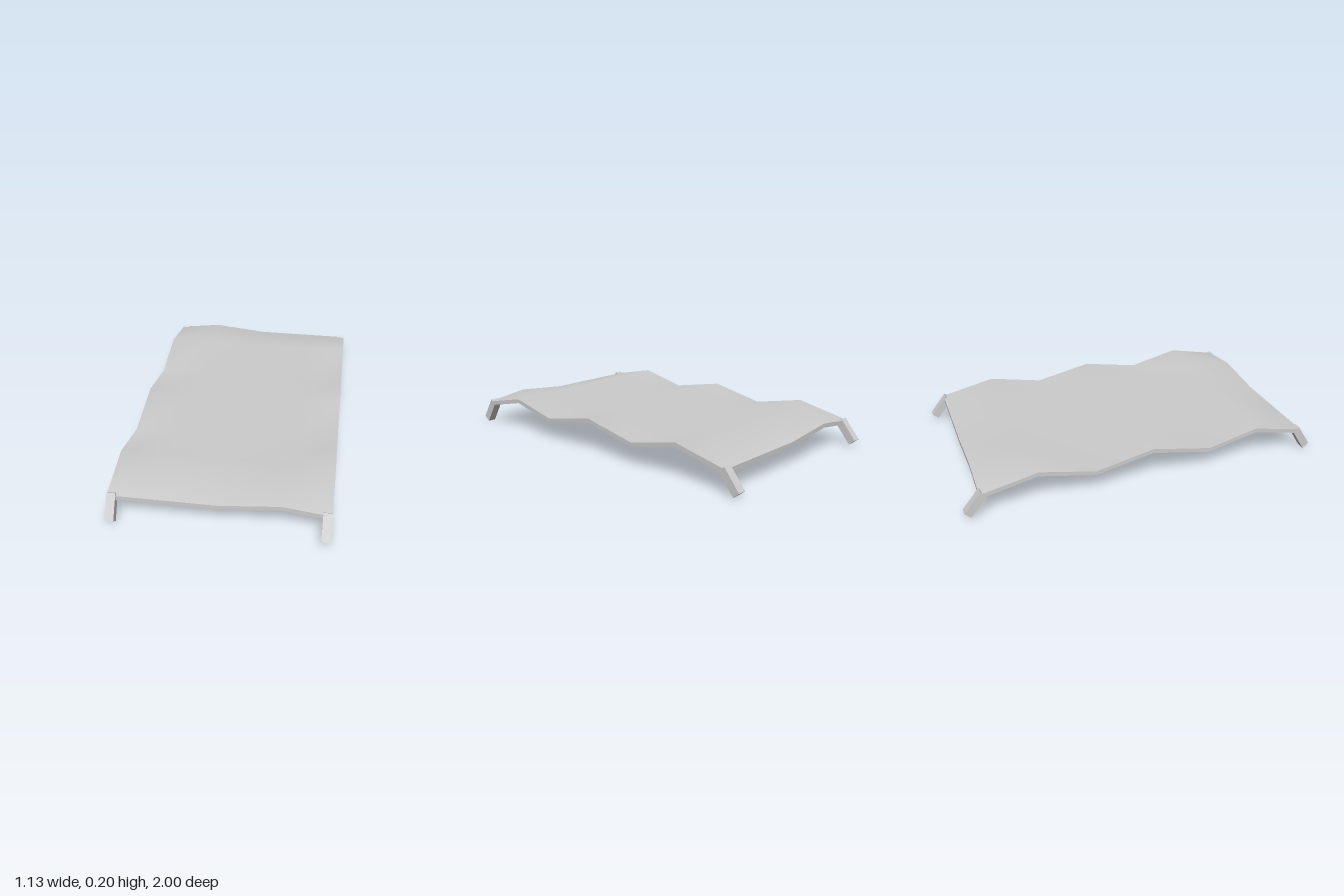
import * as THREE from 'three';

const material = new THREE.MeshStandardMaterial({ color: 0xcccccc });

// Folds of the sheet: columns across x, rows [z, y] along its length
const columns = [-0.563, -0.315, 0, 0.315, 0.563];
const rows = [
  [0.93, 0.133], [0.64, 0.197], [0.353, 0.132], [0.02, 0.197],
  [-0.302, 0.132], [-0.61, 0.197], [-0.917, 0.133],
];
const thickness = 0.024;
const lastRow = rows.length - 1, lastCol = columns.length - 1;

// One lifted ripple on each short edge, at opposite sides
function point(r, c, drop) {
  const lifted = (r === 0 && c === 3) || (r === lastRow && c === 1);
  return [columns[c], rows[r][1] + (lifted ? 0.032 : 0) - drop, rows[r][0]];
}

function makeGeometry(positions, index) {
  const g = new THREE.BufferGeometry();
  g.setAttribute('position', new THREE.Float32BufferAttribute(positions, 3));
  g.setIndex(index);
  g.computeVertexNormals();
  return g;
}

// Smooth upper or lower surface
function surface(drop, up) {
  const positions = [], index = [], n = columns.length;
  for (let r = 0; r <= lastRow; r++)
    for (let c = 0; c <= lastCol; c++) positions.push(...point(r, c, drop));
  for (let r = 0; r < lastRow; r++)
    for (let c = 0; c < lastCol; c++) {
      const a = r * n + c, b = a + 1, d = a + n, e = d + 1;
      if (up) index.push(a, b, e, a, e, d);
      else index.push(a, e, b, a, d, e);
    }
  return makeGeometry(positions, index);
}

// Thin flat rim joining both surfaces
function rim() {
  const loop = [], positions = [], index = [];
  for (let c = 0; c < lastCol; c++) loop.push([0, c]);
  for (let r = 0; r < lastRow; r++) loop.push([r, lastCol]);
  for (let c = lastCol; c > 0; c--) loop.push([lastRow, c]);
  for (let r = lastRow; r > 0; r--) loop.push([r, 0]);
  loop.forEach(([r, c], i) => {
    const [r2, c2] = loop[(i + 1) % loop.length];
    const k = i * 4;
    positions.push(...point(r, c, thickness), ...point(r2, c2, thickness),
      ...point(r2, c2, 0), ...point(r, c, 0));
    index.push(k, k + 1, k + 2, k, k + 2, k + 3);
  });
  return makeGeometry(positions, index);
}

// Splayed leg: side outline in (z, y), extruded across x
function legGeometry(outline) {
  const shape = new THREE.Shape(outline.map(([z, y]) => new THREE.Vector2(z, y)));
  const g = new THREE.ExtrudeGeometry(shape, { depth: 0.046, bevelEnabled: false });
  g.rotateY(-Math.PI / 2);
  g.translate(0.023, 0, 0);
  return g;
}

export function createModel() {
  const model = new THREE.Group();
  model.name = 'wavySheetOnLegs';
  const add = (parent, name, geometry) => {
    const mesh = new THREE.Mesh(geometry, material);
    mesh.name = name;
    parent.add(mesh);
    return mesh;
  };

  const sheet = new THREE.Group();
  sheet.name = 'sheet';
  add(sheet, 'sheetTop', surface(0, true));
  add(sheet, 'sheetUnderside', surface(thickness, false));
  add(sheet, 'sheetRim', rim());
  model.add(sheet);

  const front = legGeometry([[1, 0.027], [0.965, 0], [0.887, 0.123], [0.923, 0.147]]);
  const back = legGeometry([[-1, 0.036], [-0.966, 0.008], [-0.877, 0.117], [-0.911, 0.146]]);
  for (const [side, x] of [['Left', 0.54], ['Right', -0.54]]) {
    add(model, 'front' + side + 'Leg', front).position.x = x;
    add(model, 'back' + side + 'Leg', back).position.x = x;
  }
  return model;
}
